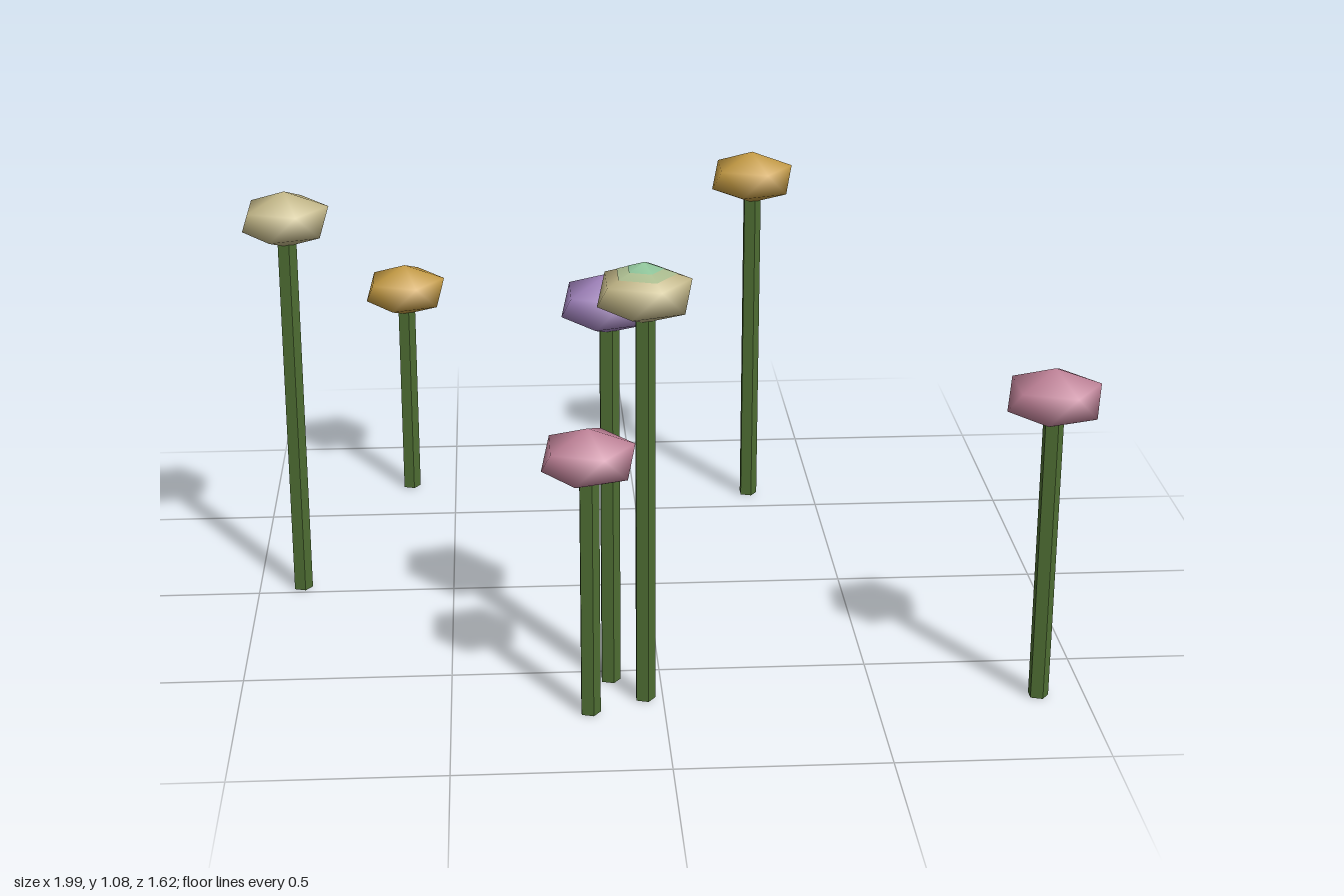
import * as THREE from 'three';

const mat = (name, color, extra = {}) => {
  const m = new THREE.MeshStandardMaterial({ color, ...extra });
  m.name = name;
  return m;
};

const RADIUS = 0.12, FLAT = 0.59;
const RING = RADIUS * 0.894, RING_Y = RADIUS * 0.447 * FLAT, TIP_Y = RADIUS * FLAT;

// Flattened twenty-sided head: two tips and two staggered rings of five
function headGeometry() {
  const pos = [0, TIP_Y, 0], index = [];
  for (const [y, turn] of [[RING_Y, 0], [-RING_Y, 0.5]]) {
    for (let i = 0; i < 5; i++) {
      const a = (i + turn) * Math.PI * 0.4;
      pos.push(RING * Math.cos(a), y, -RING * Math.sin(a));
    }
  }
  pos.push(0, -TIP_Y, 0);
  for (let i = 0; i < 5; i++) {
    const j = (i + 1) % 5;
    const u = 1 + i, v = 1 + j, p = 6 + i, q = 6 + j;
    index.push(0, u, v, u, p, v, v, p, q, 11, q, p);
  }
  const g = new THREE.BufferGeometry();
  g.setAttribute('position', new THREE.Float32BufferAttribute(pos, 3));
  g.setIndex(index);
  g.computeVertexNormals();
  return g;
}

// Thin cap lying on the top faces of a head, covering a share of them
function capGeometry(share, lift) {
  const h = (TIP_Y - RING_Y) * share;
  return new THREE.ConeGeometry(RING * share, h, 5, 1, true)
    .rotateY(Math.PI / 2)
    .translate(0, TIP_Y - h / 2 + lift, 0);
}

export function createModel() {
  const model = new THREE.Group();
  model.name = 'flowers';

  const stemMat = mat('stem green', 0x4f6f33, { flatShading: true });
  const cream = mat('cream', 0xc6ba8a);
  const gold = mat('gold', 0xc79d45);
  const pink = mat('pink', 0xc2849a);
  const purple = mat('purple', 0xa385bf);
  const sage = mat('sage', 0xacbd90);
  const mint = mat('mint', 0x8fc49a);

  const head = headGeometry();

  // x, head height, z, head colour, tinted top
  const flowers = [
    [-0.89, 0.993, -0.035, cream],
    [-0.625, 0.583, -0.71, gold],
    [0.32, 0.92, -0.6, gold],
    [0.89, 0.754, 0.685, pink],
    [-0.175, 0.642, 0.71, pink],
    [-0.12, 0.953, 0.542, purple],
    [-0.043, 1.01, 0.645, cream, true],
  ];

  for (const [x, y, z, color, tinted] of flowers) {
    const flower = new THREE.Group();
    flower.name = 'flower';
    flower.position.set(x, 0, z);

    const stem = new THREE.Mesh(
      new THREE.CylinderGeometry(0.025, 0.025, y, 5).rotateY(Math.PI / 2), stemMat);
    stem.name = 'stem';
    stem.position.y = y / 2;

    const bloom = new THREE.Mesh(head, color);
    bloom.name = 'flowerHead';
    bloom.position.y = y;
    flower.add(stem, bloom);

    // Pale green centre fading outwards
    if (tinted) {
      const outer = new THREE.Mesh(capGeometry(0.7, 0.001), sage);
      outer.name = 'outerCentre';
      const inner = new THREE.Mesh(capGeometry(0.42, 0.002), mint);
      inner.name = 'innerCentre';
      bloom.add(outer, inner);
    }
    model.add(flower);
  }
  return model;
}
